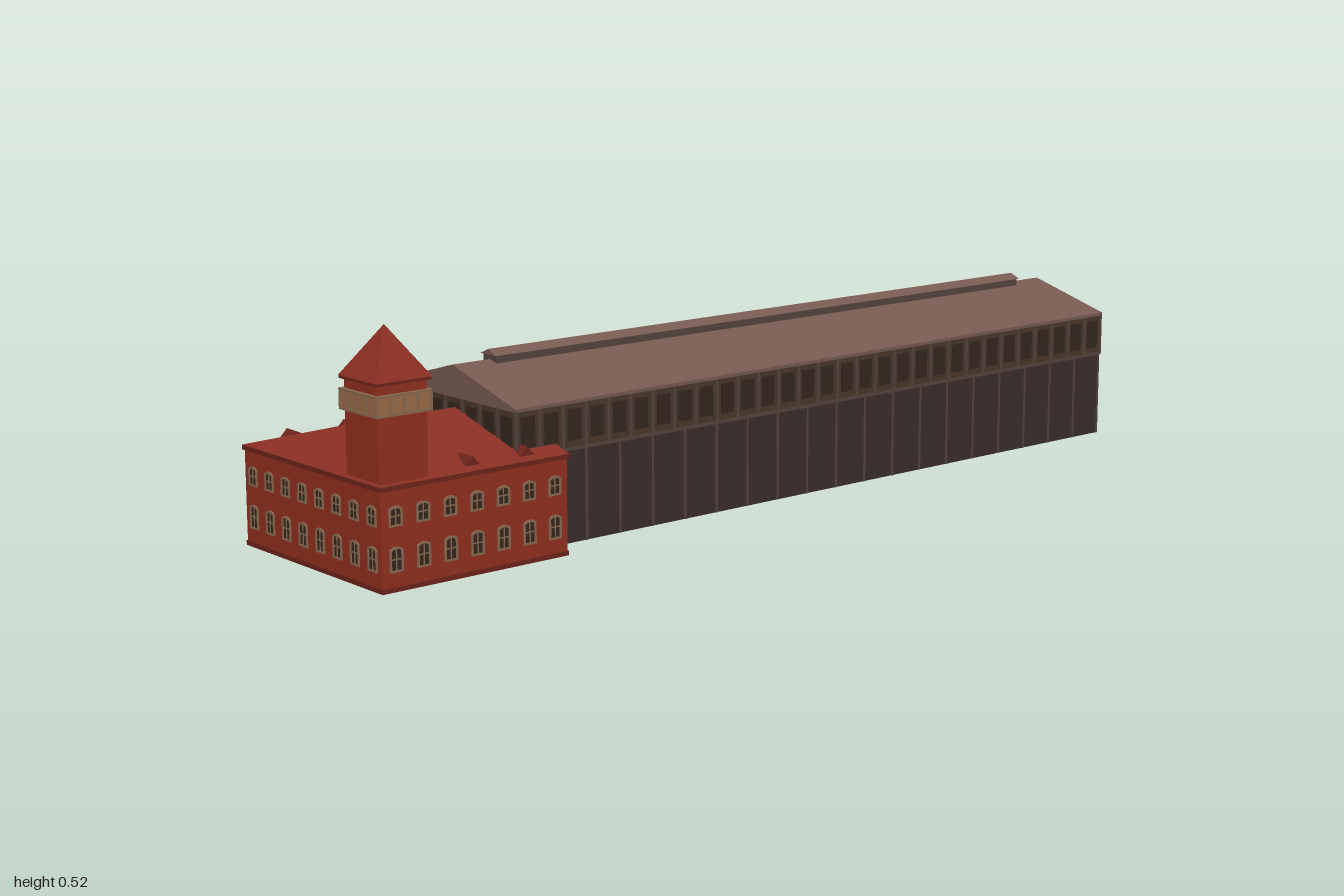
import * as THREE from 'three';
import { mergeGeometries } from 'three/addons/utils/BufferGeometryUtils.js';

const mat = (color) => new THREE.MeshStandardMaterial({ color, flatShading: true, side: THREE.DoubleSide });
const brick = mat(0x93301f), tile = mat(0x8b2f24), darkTile = mat(0x6e251b);
const shedRoofMat = mat(0x785a52), shedWallMat = mat(0x3b2d2b), clerestoryMat = mat(0x4b3629);
const trim = mat(0x8a6a50), rib = mat(0x55433e), glass = mat(0x33261f), tan = mat(0x9a6c48);

// Flat polygons, each a list of [x, y, z] corners, fanned into triangles
function polys(faces) {
  const p = [];
  for (const f of faces)
    for (let i = 1; i < f.length - 1; i++) p.push(...f[0], ...f[i], ...f[i + 1]);
  const g = new THREE.BufferGeometry();
  g.setAttribute('position', new THREE.Float32BufferAttribute(p, 3));
  g.computeVertexNormals();
  return g;
}

// Four upright walls, open above and below
function walls(x0, x1, z0, z1, y0, y1) {
  const c = [[x0, z1], [x1, z1], [x1, z0], [x0, z0]];
  return polys(c.map(([ax, az], i) => {
    const [bx, bz] = c[(i + 1) % 4];
    return [[ax, y0, az], [bx, y0, bz], [bx, y1, bz], [ax, y1, az]];
  }));
}

// Ridged roof along z; hip is how far the ridge stops short of the front
function gable(x0, x1, z0, z1, y0, y1, hip = 0) {
  const m = (x0 + x1) / 2, r = z1 - hip;
  return polys([
    [[x1, y0, z1], [x1, y0, z0], [m, y1, z0], [m, y1, r]],
    [[x0, y0, z0], [x0, y0, z1], [m, y1, r], [m, y1, z0]],
    [[x0, y0, z1], [x1, y0, z1], [m, y1, r]],
    [[x1, y0, z0], [x0, y0, z0], [m, y1, z0]],
  ]);
}

// Copies of a part spaced evenly along each of the four sides of a rectangle
function alongSides(part, x0, x1, z0, z1, nx, nz, y, ends = false) {
  const cx = (x0 + x1) / 2, cz = (z0 + z1) / 2, w = x1 - x0, d = z1 - z0, out = [];
  for (let s = 0; s < 4; s++) {
    const [len, off, n] = s % 2 ? [d, w / 2, nz] : [w, d / 2, nx];
    for (let i = 0; i < n + (ends ? 1 : 0); i++) {
      const u = ((i + (ends ? 0 : 0.5)) / n - 0.5) * len;
      out.push(part.clone().translate(u, y, off).rotateY(s * Math.PI / 2).translate(cx, 0, cz));
    }
  }
  return mergeGeometries(out);
}

function archShape(w, h, rise) {
  const s = new THREE.Shape();
  s.moveTo(-w / 2, 0);
  s.lineTo(w / 2, 0);
  s.lineTo(w / 2, h - rise);
  s.quadraticCurveTo(0, h + rise, -w / 2, h - rise);
  s.closePath();
  return s;
}

export function createModel() {
  const root = new THREE.Group();
  const building = new THREE.Group();
  building.name = 'building';
  building.rotation.y = -0.675;
  root.add(building);
  const add = (name, geometry, material, parent = building) => {
    const m = new THREE.Mesh(geometry, material);
    m.name = name;
    parent.add(m);
    return m;
  };

  // Long shed
  const shed = new THREE.Group();
  shed.name = 'shed';
  building.add(shed);
  const S = [-0.213, 0.213, -1.102, 0.697];
  add('shedWalls', walls(...S, 0.01, 0.21), shedWallMat, shed);
  add('clerestoryWalls', walls(-0.215, 0.215, -1.104, 0.699, 0.21, 0.315), clerestoryMat, shed);
  add('shedRoof', gable(-0.218, 0.218, -1.107, 0.702, 0.314, 0.376), shedRoofMat, shed);
  add('shedEaves', walls(-0.218, 0.218, -1.107, 0.702, 0.307, 0.314), shedRoofMat, shed);
  add('wallRibs', alongSides(new THREE.BoxGeometry(0.005, 0.2, 0.004), ...S, 5, 20, 0.11, true), rib, shed);
  const C = [-0.215, 0.215, -1.104, 0.699];
  add('clerestoryPosts', alongSides(new THREE.BoxGeometry(0.006, 0.1, 0.005), ...C, 7, 30, 0.26, true), rib, shed);
  add('clerestoryGlass', alongSides(new THREE.BoxGeometry(0.036, 0.066, 0.003), ...C, 7, 30, 0.262), glass, shed);
  add('clerestorySill', walls(-0.2165, 0.2165, -1.1055, 0.7005, 0.208, 0.216), rib, shed);

  // Raised ridge vent
  add('ridgeVentWalls', walls(-0.023, 0.023, -1.005, 0.605, 0.366, 0.387), rib, shed);
  add('ridgeVentRoof', gable(-0.027, 0.027, -1.01, 0.61, 0.386, 0.398), shedRoofMat, shed);

  // Brick head house
  const house = new THREE.Group();
  house.name = 'headHouse';
  building.add(house);
  const H = [-0.248, 0.257, 0.602, 1.057];
  add('houseWalls', walls(...H, 0, 0.212), brick, house);
  add('houseCornice', walls(-0.252, 0.261, 0.598, 1.061, 0.205, 0.215), darkTile, house);
  add('houseBase', walls(-0.25, 0.259, 0.6, 1.059, 0, 0.01), darkTile, house);
  add('houseRoof', gable(-0.252, 0.261, 0.598, 1.061, 0.215, 0.286, 0.093), tile, house);

  // Two rows of arched windows
  for (const [row, y, h] of [['lower', 0.04, 0.052], ['upper', 0.132, 0.042]]) {
    const frame = archShape(0.032, h, 0.006);
    frame.holes.push(new THREE.Path(archShape(0.023, h - 0.009, 0.004).getPoints(4)
      .map((p) => new THREE.Vector2(p.x, p.y + 0.004))));
    const frameGeo = new THREE.ExtrudeGeometry(frame, { depth: 0.003, bevelEnabled: false, curveSegments: 4 });
    const pane = new THREE.ShapeGeometry(archShape(0.028, h - 0.004, 0.005), 4).translate(0, 0.002, 0.001);
    const bars = mergeGeometries([
      new THREE.BoxGeometry(0.0025, h - 0.006, 0.002).translate(0, h / 2, 0.0015),
      new THREE.BoxGeometry(0.024, 0.0025, 0.002).translate(0, h / 2, 0.0015),
    ]);
    add(row + 'WindowFrames', alongSides(frameGeo, ...H, 8, 7, y), trim, house);
    add(row + 'WindowPanes', alongSides(pane, ...H, 8, 7, y), glass, house);
    add(row + 'WindowBars', alongSides(bars, ...H, 8, 7, y), trim, house);
  }

  // Small dormers on both slopes
  for (const side of [-1, 1])
    for (const z of side < 0 ? [0.69, 0.825, 0.965] : [0.69, 0.825]) {
      const a = 0.0045 + side * 0.235, b = 0.0045 + side * 0.18, w = 0.02;
      const f = [[a, 0.219, z - w], [a, 0.219, z + w], [a, 0.24, z]], back = [b, 0.239, z];
      add('dormer', polys([f, [f[1], back, f[2]], [f[0], f[2], back]]), darkTile, house);
    }

  // Corner tower
  const tower = new THREE.Group();
  tower.name = 'tower';
  tower.position.set(0.194, 0, 0.998);
  building.add(tower);
  const square = (w, y0, y1) => walls(-w / 2, w / 2, -w / 2, w / 2, y0, y1);
  const slab = (w, y0, y1) => new THREE.BoxGeometry(w, y1 - y0, w).translate(0, (y0 + y1) / 2, 0);
  add('towerShaft', square(0.115, 0.003, 0.42), brick, tower);
  add('towerBelt', slab(0.128, 0.355, 0.39), tan, tower);
  add('beltLowerEdge', slab(0.132, 0.351, 0.356), trim, tower);
  add('beltUpperEdge', slab(0.132, 0.389, 0.394), trim, tower);
  add('beltPosts', alongSides(new THREE.BoxGeometry(0.004, 0.034, 0.004),
    -0.064, 0.064, -0.064, 0.064, 4, 4, 0.372, true), trim, tower);
  add('towerEaves', slab(0.13, 0.413, 0.42), darkTile, tower);
  const spire = new THREE.ConeGeometry(0.132 / Math.SQRT2, 0.102, 4).rotateY(Math.PI / 4);
  add('towerRoof', spire, tile, tower).position.y = 0.47;

  return root;
}
